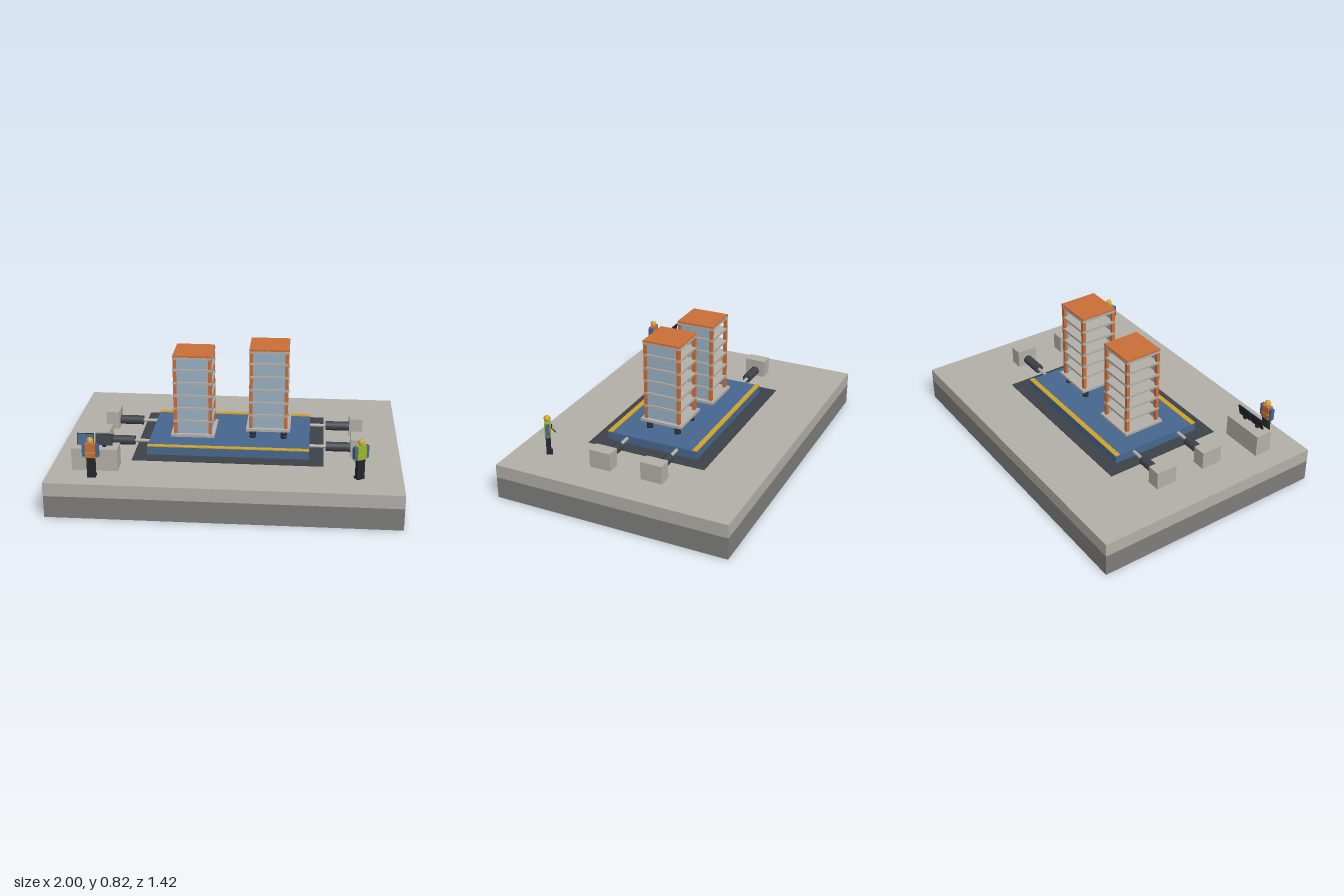
import * as THREE from 'three';

const mat = (name, color) => {
  const m = new THREE.MeshStandardMaterial({ color });
  m.name = name;
  return m;
};

export function createModel() {
  const M = {
    stone: mat('dark stone', 0x7e7d7b),
    concrete: mat('concrete', 0xb3afa8),
    charcoal: mat('charcoal steel', 0x3d4249),
    blue: mat('blue', 0x47678f),
    yellow: mat('safety yellow', 0xcda32c),
    orange: mat('orange', 0xca6f38),
    glass: mat('glass', 0x98b1c3),
    black: mat('black rubber', 0x24272c),
    lime: mat('lime', 0x93b82c),
    skin: mat('skin', 0xd9a57c),
  };
  const root = new THREE.Group();
  root.name = 'shakeTableLab';

  const add = (parent, name, geo, material, x, y, z) => {
    const mesh = new THREE.Mesh(geo, material);
    mesh.name = name;
    mesh.position.set(x, y, z);
    parent.add(mesh);
    return mesh;
  };
  // Box given by its bottom height
  const box = (parent, name, material, w, h, d, x, y0, z) =>
    add(parent, name, new THREE.BoxGeometry(w, h, d), material, x, y0 + h / 2, z);
  const group = (name, x, y, z) => {
    const g = new THREE.Group();
    g.name = name;
    g.position.set(x, y, z);
    root.add(g);
    return g;
  };

  // Floor block, pit and moving table
  box(root, 'foundation', M.stone, 2, 0.13, 1.418, 0, 0, 0);
  box(root, 'floorSlab', M.concrete, 2, 0.08, 1.418, 0, 0.13, 0);
  box(root, 'pit', M.charcoal, 1.11, 0.003, 0.738, 0, 0.21, 0);
  box(root, 'table', M.blue, 0.948, 0.05, 0.57, -0.003, 0.213, 0);
  for (const s of [-1, 1]) box(root, 'safetyStripe', M.yellow, 0.948, 0.005, 0.03, -0.003, 0.263, s * 0.271);

  // Four actuators with reaction blocks
  for (const sx of [-1, 1]) for (const sz of [-1, 1]) {
    const z = sz * 0.159;
    box(root, 'reactionBlock', M.concrete, 0.08, 0.108, 0.13, sx * 0.75, 0.21, z);
    const body = new THREE.CylinderGeometry(0.028, 0.028, 0.145, 20).rotateZ(Math.PI / 2);
    add(root, 'actuatorBody', body, M.charcoal, sx * 0.64, 0.246, z);
    const rod = new THREE.CylinderGeometry(0.01, 0.01, 0.1, 14).rotateZ(Math.PI / 2);
    add(root, 'actuatorRod', rod, M.concrete, sx * 0.52, 0.246, z);
  }

  // Towers: slabs, corner columns, glazing on the front and +x faces
  const storey = 0.08;
  const tower = (name, x, y) => {
    const g = group(name, x, y, 0);
    box(g, 'baseSlab', M.concrete, 0.262, 0.016, 0.262, 0, -0.016, 0);
    for (let i = 0; i <= 6; i++) {
      const top = i === 6;
      if (i > 0) box(g, 'floor', M.concrete, 0.232, 0.014, 0.232, 0, i * storey - (top ? 0.014 : 0.007), 0);
      if (top) continue;
      const y0 = i * storey;
      box(g, 'frontGlass', M.glass, 0.19, storey - 0.006, 0.004, 0, y0, 0.105);
      box(g, 'sideGlass', M.glass, 0.004, storey - 0.006, 0.19, 0.105, y0, 0);
    }
    for (const sx of [-1, 1]) for (const sz of [-1, 1])
      box(g, 'column', M.orange, 0.02, 6 * storey - 0.014, 0.02, sx * 0.104, 0, sz * 0.104);
    box(g, 'roof', M.orange, 0.23, 0.01, 0.23, 0, 6 * storey, 0);
    return g;
  };
  tower('fixedTower', -0.226, 0.28);
  const isolated = tower('isolatedTower', 0.224, 0.33);

  // Layered rubber isolators under the second tower
  for (const sx of [-1, 1]) for (const sz of [-1, 1]) for (let i = 0; i < 5; i++) {
    const r = i % 2 ? 0.014 : 0.019;
    add(isolated, 'isolatorLayer', new THREE.CylinderGeometry(r, r, 0.0104, 18),
      i % 2 ? M.charcoal : M.black, sx * 0.092, -0.062 + i * 0.0102, sz * 0.09);
  }

  // Control desk with two tilted screens
  box(root, 'controlDesk', M.concrete, 0.262, 0.132, 0.104, -0.74, 0.21, 0.472);
  [[-0.793, M.blue], [-0.688, M.charcoal]].forEach(([x, face]) => {
    const screen = group('screen', x, 0.385, 0.48);
    screen.rotation.x = -0.22;
    box(screen, 'screenCase', M.black, 0.096, 0.066, 0.008, 0, -0.033, 0);
    box(screen, 'screenFace', face, 0.09, 0.06, 0.002, 0, -0.03, 0.005);
    box(root, 'screenStand', M.black, 0.02, 0.03, 0.008, x, 0.338, 0.482);
  });

  // People, built facing +z then turned
  const person = (name, vest, x, z, turn) => {
    const g = group(name, x, 0.21, z);
    g.rotation.y = turn;
    for (const s of [-1, 1]) {
      box(g, 'leg', M.black, 0.022, 0.122, 0.026, s * 0.0125, 0.002, 0);
      box(g, 'shoe', M.black, 0.023, 0.012, 0.038, s * 0.0125, 0.002, 0.004);
      box(g, 'sleeve', M.blue, 0.018, 0.072, 0.024, s * 0.038, 0.128, 0);
      add(g, 'hand', new THREE.SphereGeometry(0.009, 10, 8), M.skin, s * 0.038, 0.125, 0);
    }
    box(g, 'vest', vest, 0.056, 0.082, 0.034, 0, 0.122, 0);
    box(g, 'vestBand', M.yellow, 0.0575, 0.007, 0.0355, 0, 0.15, 0);
    add(g, 'head', new THREE.SphereGeometry(0.016, 16, 12), M.skin, 0, 0.216, 0);
    add(g, 'helmet', new THREE.SphereGeometry(0.019, 16, 8, 0, Math.PI * 2, 0, Math.PI / 2), M.yellow, 0, 0.222, 0);
    add(g, 'helmetBrim', new THREE.CylinderGeometry(0.02, 0.02, 0.003, 16), M.yellow, 0, 0.221, 0.003);
    return g;
  };
  person('operator', M.orange, -0.74, 0.606, Math.PI);
  const inspector = person('inspector', M.lime, 0.756, 0.512, Math.PI + 0.55);

  // Clipboard held by the inspector
  const board = box(inspector, 'clipboard', M.black, 0.05, 0.038, 0.004, 0, 0.138, 0.034);
  board.rotation.x = -0.7;
  box(board, 'paper', M.concrete, 0.042, 0.03, 0.002, 0, -0.015, 0.003);

  return root;
}
